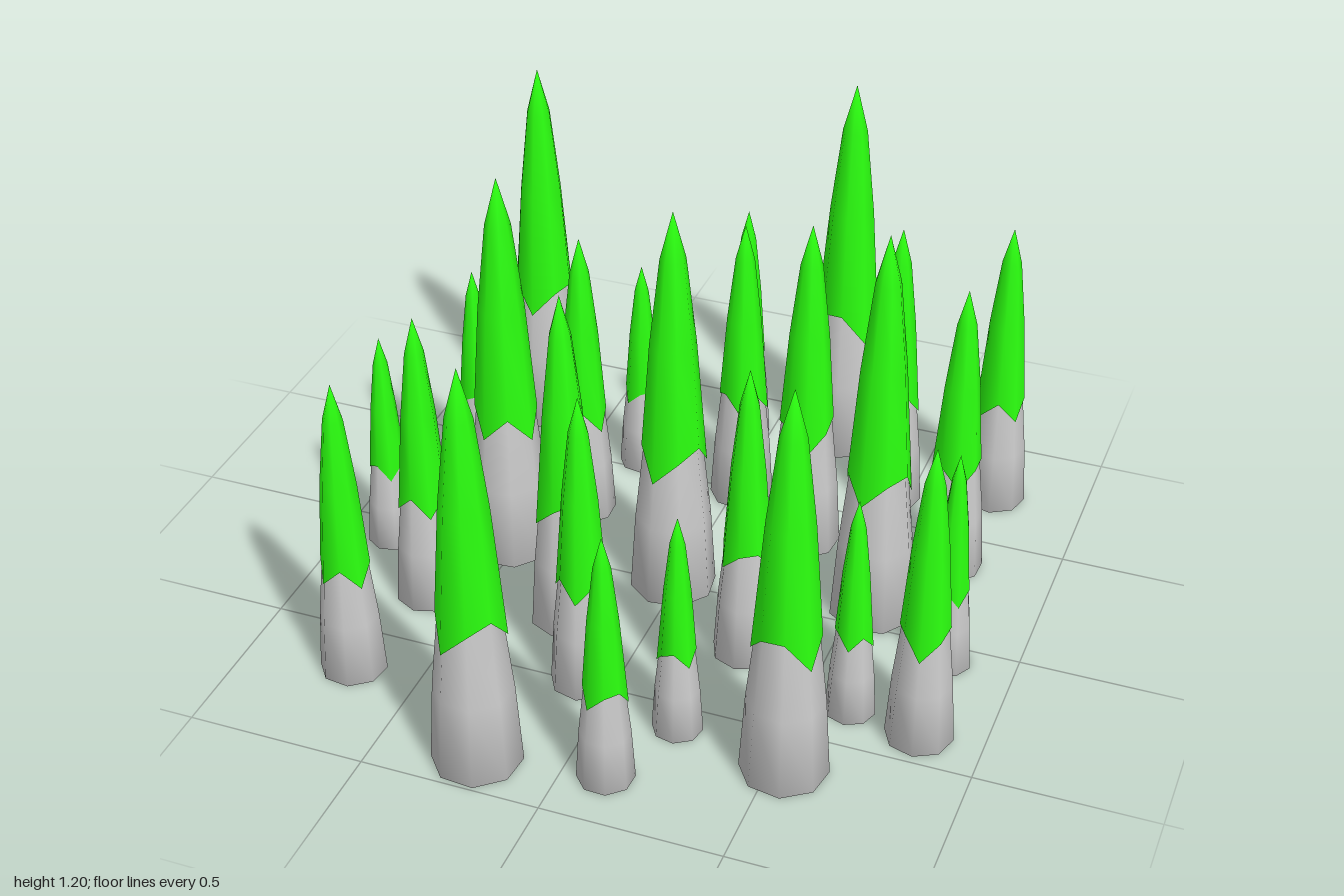
import * as THREE from 'three';
import { mergeVertices } from 'three/addons/utils/BufferGeometryUtils.js';

const SIDES = 8;

// x, z, height of every spike
const SPIKES = [
  [-0.70, -0.71, 1.17], [-0.085, -0.83, 0.76], [0.215, -0.88, 1.2],
  [0.73, -0.74, 0.91], [0.44, -0.63, 0.91], [-0.315, -0.545, 0.68],
  [0.02, -0.495, 0.91], [0.265, -0.34, 1.04], [0.70, -0.37, 0.91],
  [-0.765, -0.345, 0.68], [-0.39, -0.26, 0.91], [-0.52, -0.015, 1.2],
  [-0.015, -0.01, 1.2], [0.55, -0.09, 1.2], [-0.855, 0.08, 0.68],
  [0.81, 0.065, 0.68], [-0.64, 0.285, 0.91], [-0.235, 0.24, 1.04],
  [0.28, 0.21, 0.91], [0.625, 0.35, 0.68], [0.825, 0.385, 0.91],
  [-0.085, 0.485, 0.91], [0.22, 0.58, 0.68], [0.535, 0.635, 1.17],
  [-0.695, 0.65, 0.91], [-0.225, 0.875, 1.2], [0.115, 0.825, 0.76],
];

// Ragged lower edge of the coloured tip, one height per side
const RIM = [0.40, 0.47, 0.48, 0.39, 0.46, 0.49, 0.41, 0.48];

// Lathe a profile, optionally reshape its vertices, then smooth it across the seam
function turned(profile, reshape) {
  const geo = new THREE.LatheGeometry(profile.map(([r, y]) => new THREE.Vector2(r, y)), SIDES);
  if (reshape) reshape(geo.attributes.position, profile.length);
  geo.deleteAttribute('uv');
  geo.deleteAttribute('normal');
  const merged = mergeVertices(geo, 1e-4);
  merged.computeVertexNormals();
  return merged;
}

// Radius of the grey shaft between its two upper rings
const shaftRadius = (y) => 0.107 - (y - 0.24) * 0.104;

export function createModel() {
  const model = new THREE.Group();
  model.name = 'spikeField';

  const grey = new THREE.MeshStandardMaterial({ color: 0xcccccc });
  const green = new THREE.MeshStandardMaterial({ color: 0x2bff0f, side: THREE.DoubleSide });

  // Tapered shaft with a closed foot, running up inside the tip
  const shaftGeo = turned([[0, 0], [0.122, 0], [0.107, 0.24], [shaftRadius(0.52), 0.52]]);

  // Pointed tip whose lowest ring follows the ragged edge
  const tipGeo = turned([[0.09, 0.45], [0.065, 0.8], [0.036, 1.06], [0, 1.2]], (pos, rows) => {
    for (let i = 0; i <= SIDES; i++) {
      const a = (i / SIDES) * Math.PI * 2;
      const y = RIM[i % SIDES];
      const r = shaftRadius(y) + 0.006;
      pos.setXYZ(i * rows, Math.sin(a) * r, y, Math.cos(a) * r);
    }
  });

  // Scaled and turned copies
  SPIKES.forEach(([x, z, height], i) => {
    const spike = new THREE.Group();
    spike.name = `spike${i + 1}`;
    const shaft = new THREE.Mesh(shaftGeo, grey);
    shaft.name = 'shaft';
    const tip = new THREE.Mesh(tipGeo, green);
    tip.name = 'tip';
    spike.add(shaft, tip);
    spike.position.set(x, 0, z);
    spike.rotation.y = i * 2.4;
    spike.scale.setScalar(height / 1.2);
    model.add(spike);
  });

  return model;
}
